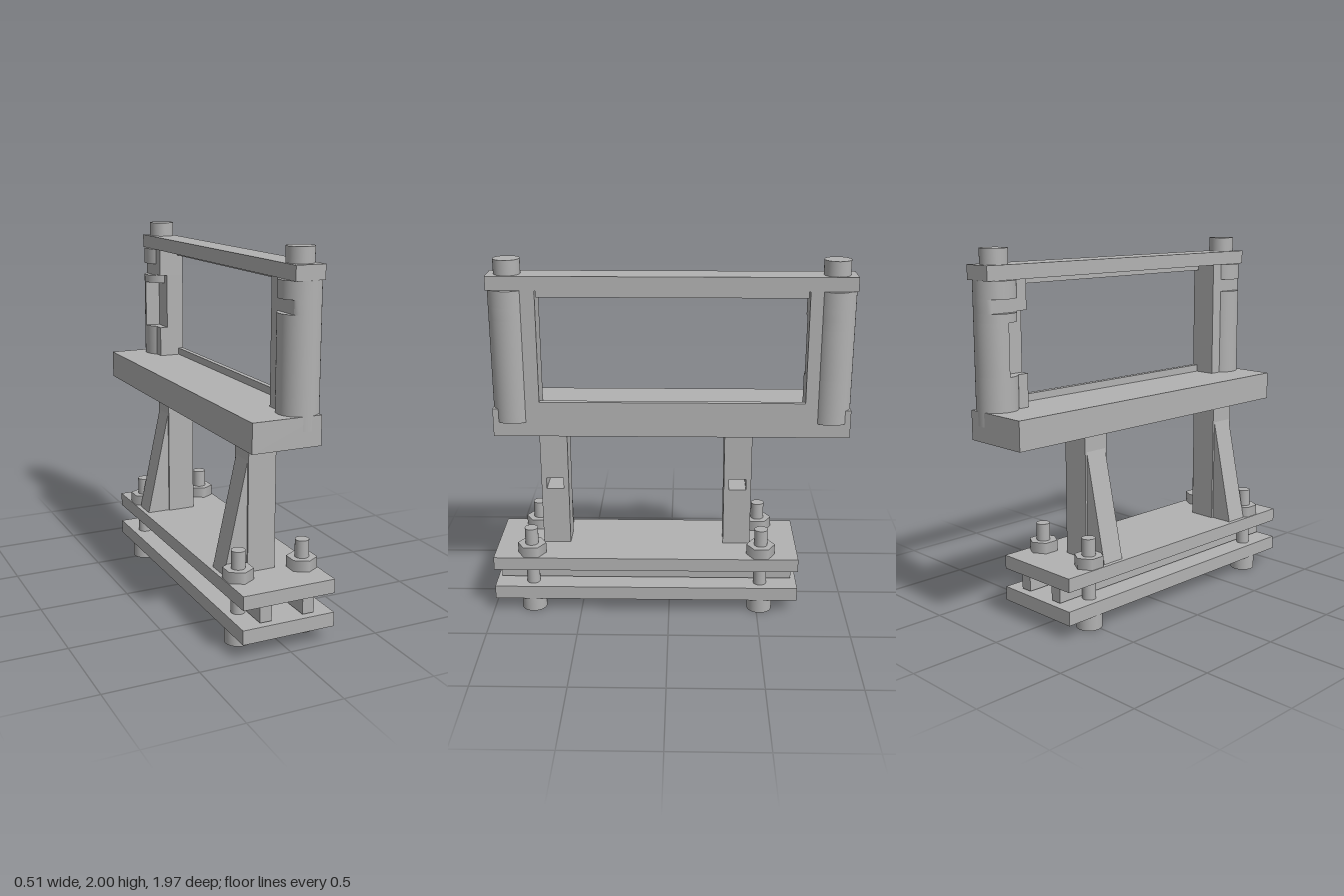
import * as THREE from 'three';
import { toCreasedNormals } from 'three/addons/utils/BufferGeometryUtils.js';

export function createModel() {
  const root = new THREE.Group();
  root.name = 'clampFrame';
  const steel = new THREE.MeshStandardMaterial({ color: 0xb2b2b2 });
  steel.name = 'greySteel';

  const add = (name, geo) => {
    const mesh = new THREE.Mesh(geo, steel);
    mesh.name = name;
    root.add(mesh);
    return mesh;
  };
  // box given by its limits on each axis
  const box = (name, x0, x1, y0, y1, z0, z1) =>
    add(name, new THREE.BoxGeometry(x1 - x0, y1 - y0, z1 - z0))
      .position.set((x0 + x1) / 2, (y0 + y1) / 2, (z0 + z1) / 2);
  // upright cylinder or prism
  const rod = (name, r, x, z, y0, y1, sides = 40) =>
    add(name, sides > 6
      ? new THREE.CylinderGeometry(r, r, y1 - y0, sides)
      : new THREE.CylinderGeometry(r, r, y1 - y0, sides).toNonIndexed())
      .position.set(x, (y0 + y1) / 2, z);
  // round section with its -x side cut flat at xMin; innerOnly cuts just the +z half
  const cutRod = (name, r, x, z, y0, y1, xMin, innerOnly) => {
    const pts = [];
    for (let i = 0; i < 48; i++) {
      const a = (i / 48) * Math.PI * 2;
      const s = Math.sin(a) * r;
      const px = x + Math.cos(a) * r;
      const cut = !innerOnly || s < -1e-6;
      pts.push(new THREE.Vector2(cut ? Math.max(px, xMin) : px, s - z));
    }
    const geo = new THREE.ExtrudeGeometry(new THREE.Shape(pts), { depth: y1 - y0, bevelEnabled: false });
    geo.rotateX(-Math.PI / 2);
    add(name, toCreasedNormals(geo, 0.5)).position.y = y0;
  };

  // base plates and the two spacer rails between them
  box('lowerPlate', -0.26, 0.255, 0.083, 0.16, -0.725, 0.985);
  box('upperPlate', -0.26, 0.255, 0.265, 0.34, -0.725, 0.985);
  box('spacerRail', -0.155, -0.09, 0.17, 0.265, -0.695, 0.96);
  box('spacerRail', 0.085, 0.15, 0.17, 0.265, -0.695, 0.96);

  // bolts: head, shank and hex nut
  for (const x of [-0.186, 0.18]) {
    for (const z of [-0.517, 0.775]) {
      rod('boltHead', 0.07, x, z, 0, 0.083);
      rod('boltShank', 0.037, x, z, 0.08, 0.495, 32);
      rod('hexNut', 0.08, x, z, 0.34, 0.4, 6);
    }
  }

  // columns with a rectangular slot, braced by a wedge at the back
  for (const z of [-0.385, 0.648]) {
    const side = new THREE.Shape();
    side.moveTo(-0.077, 0.34).lineTo(0.077, 0.34).lineTo(0.077, 1.04).lineTo(-0.077, 1.04).closePath();
    const slot = new THREE.Path();
    slot.moveTo(-0.048, 0.675).lineTo(-0.048, 0.74).lineTo(0.048, 0.74).lineTo(0.048, 0.675).closePath();
    side.holes.push(slot);
    const column = new THREE.ExtrudeGeometry(side, { depth: 0.155, bevelEnabled: false });
    column.rotateY(Math.PI / 2);
    add('column', column).position.set(-0.107, 0, z);

    const tri = new THREE.Shape();
    tri.moveTo(-0.236, 0.34).lineTo(-0.107, 0.34).lineTo(-0.107, 0.93).closePath();
    const wedge = new THREE.ExtrudeGeometry(tri, { depth: 0.132, bevelEnabled: false });
    add('gusset', wedge).position.z = z - 0.066;
  }

  // deck and frame bars
  box('deck', -0.207, 0.17, 1.04, 1.195, -0.98, 0.955);
  box('topBar', 0.01, 0.17, 1.845, 1.92, -0.98, 0.955);
  box('topLip', 0.13, 0.17, 1.81, 1.845, -0.725, 0.693);
  box('bottomSill', 0.14, 0.17, 1.195, 1.235, -0.733, 0.7);

  // front post with a small notch
  const r = 0.108, cx = 0.091, zf = 0.85, zb = -0.875;
  box('frontUpright', 0.02, 0.17, 1.195, 1.845, 0.7, zf);
  rod('frontPost', r, cx, zf, 1.12, 1.685, 48);
  cutRod('frontPostNotch', r, cx, zf, 1.685, 1.755, 0.02, false);
  rod('frontPostTop', r, cx, zf, 1.755, 1.845, 48);

  // rear post with the same notch and a tall inner pocket
  box('rearUprightFoot', 0.02, 0.17, 1.195, 1.37, zb, -0.733);
  box('rearUpright', 0.065, 0.17, 1.37, 1.69, zb, -0.733);
  box('rearUprightTop', 0.02, 0.17, 1.69, 1.845, zb, -0.733);
  rod('rearPostFoot', r, cx, zb, 1.12, 1.37, 48);
  cutRod('rearPostPocket', r, cx, zb, 1.37, 1.64, 0.065, true);
  rod('rearPostTab', r, cx, zb, 1.64, 1.685, 48);
  cutRod('rearPostNotch', r, cx, zb, 1.685, 1.755, 0.02, false);
  rod('rearPostTop', r, cx, zb, 1.755, 1.845, 48);

  // pins standing on the top bar
  for (const z of [zf, zb]) rod('topPin', 0.071, cx, z, 1.92, 2);

  return root;
}
